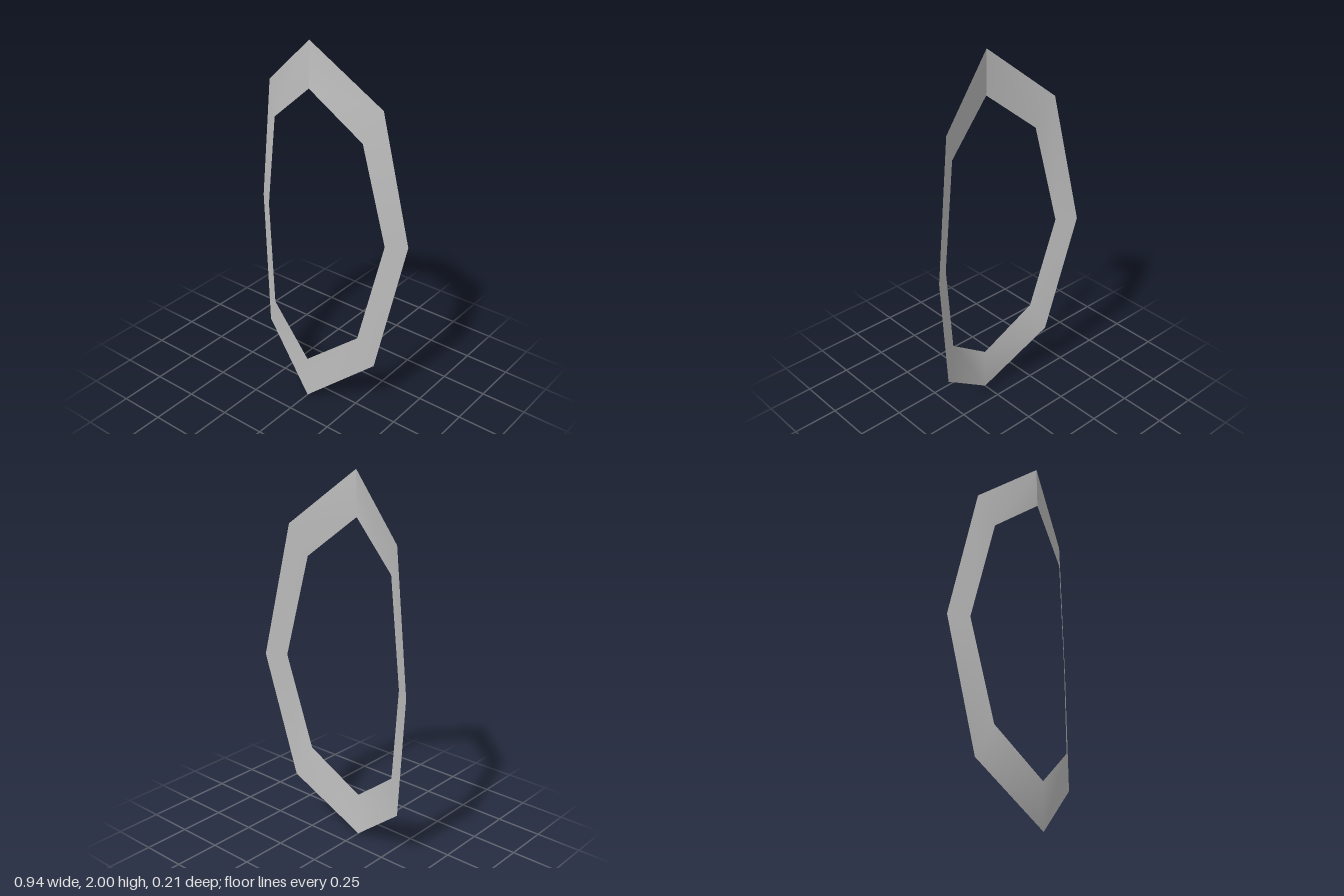
import * as THREE from 'three';

// Half profile from top to bottom: [x, y, z]
const OUTER = [[0, 2, 0.075], [0.345, 1.705, -0.037], [0.47, 1, -0.105], [0.355, 0.292, -0.008], [0, 0, 0.105]];
const INNER = [[0, 1.767, 0.08], [0.27, 1.54, 0.017], [0.375, 1, -0.04], [0.278, 0.46, 0.038], [0, 0.24, 0.104]];

// Mirror a half profile into a full loop that opens at the top seam
function fullLoop(half) {
  const left = half.slice(0, -1).reverse().map(([x, y, z]) => [-x, y, z]);
  return [...half, ...left];
}

// Smooth band between two matching loops, creased only at the seam
function bandGeometry(outer, inner) {
  const positions = [];
  const indices = [];
  outer.forEach((p, i) => {
    positions.push(...p, ...inner[i]);
    if (i < outer.length - 1) {
      const a = 2 * i;
      indices.push(a, a + 1, a + 2, a + 1, a + 3, a + 2);
    }
  });
  const geometry = new THREE.BufferGeometry();
  geometry.setAttribute('position', new THREE.Float32BufferAttribute(positions, 3));
  geometry.setIndex(indices);
  geometry.computeVertexNormals();
  return geometry;
}

export function createModel() {
  const group = new THREE.Group();
  group.name = 'curvedFrame';

  const grey = new THREE.MeshStandardMaterial({ color: 0xc0c0c0, side: THREE.DoubleSide });
  grey.name = 'grey';

  // Open eight-sided rim, bowed forward along its centre line
  const rim = new THREE.Mesh(bandGeometry(fullLoop(OUTER), fullLoop(INNER)), grey);
  rim.name = 'rim';
  group.add(rim);
  return group;
}
